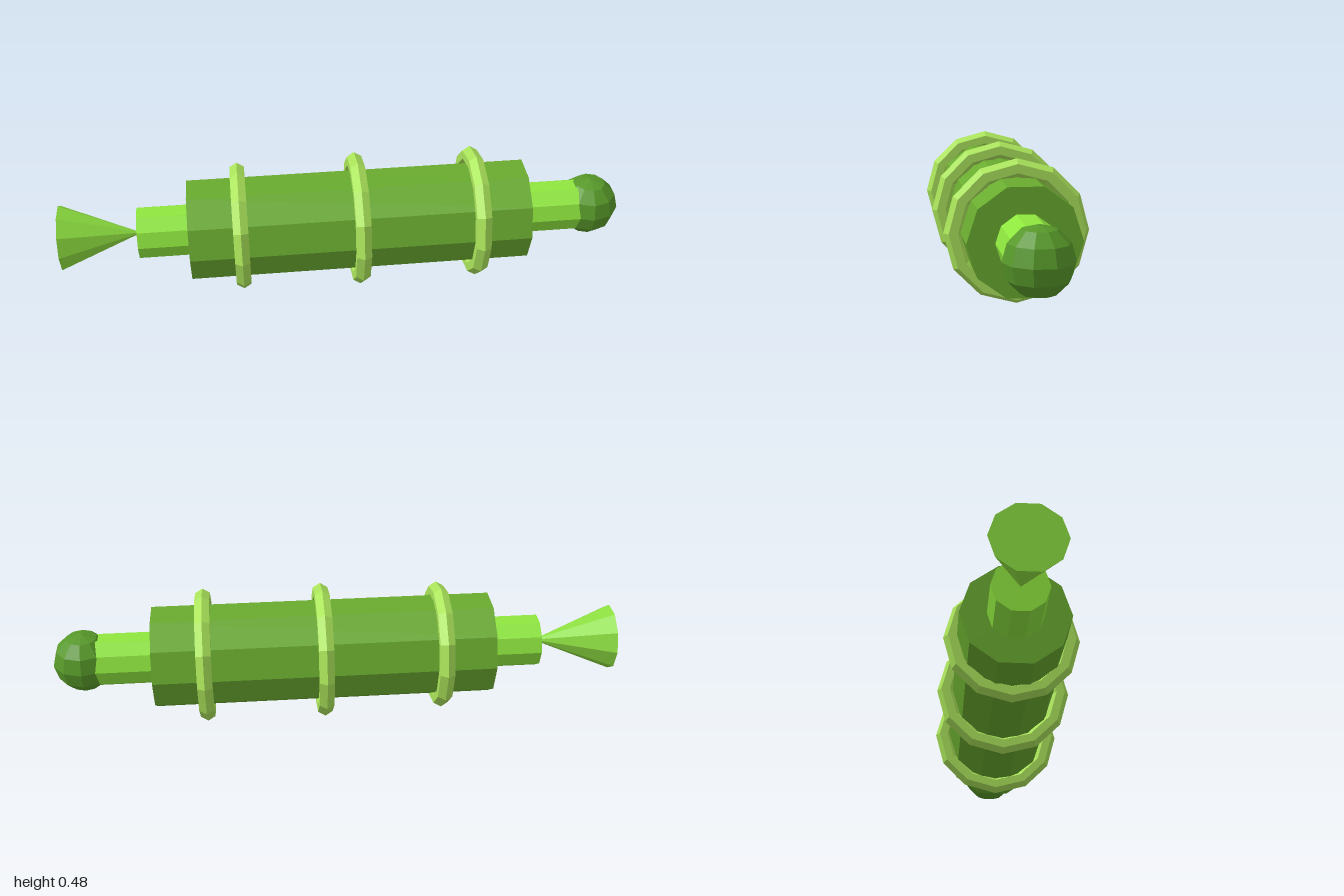
import * as THREE from 'three';

const SIDES = 10;
const AXIS_Y = 0.24;

export function createModel() {
  const model = new THREE.Group();

  const add = (name, geometry, color, x) => {
    const material = new THREE.MeshStandardMaterial({ color, flatShading: true });
    const mesh = new THREE.Mesh(geometry, material);
    mesh.name = name;
    mesh.position.set(x, AXIS_Y, 0);
    model.add(mesh);
  };

  // Cylinder or cone lying along x, from x0 to x1
  const addRod = (name, r0, r1, x0, x1, color) => {
    const geometry = new THREE.CylinderGeometry(r1, r0, x1 - x0, SIDES).rotateZ(-Math.PI / 2);
    add(name, geometry, color, (x0 + x1) / 2);
  };

  // Main barrel and the thinner shaft running through it
  addRod('barrel', 0.182, 0.182, -0.55, 0.65, 0x69ab2f);
  addRod('shaft', 0.093, 0.093, -0.73, 0.88, 0x8ee63e);

  // Flared cone at the right end, its tip set into the shaft
  addRod('flaredCone', 0.118, 0, -1, -0.72, 0x8bdc3f);

  // Ball at the left end
  add('ballTip', new THREE.SphereGeometry(0.108, SIDES, 6).rotateY(Math.PI / 2), 0x579829, 0.897);

  // Bands around the barrel, slightly different in size
  for (const [x, radius] of [[-0.37, 0.197], [0.05, 0.209], [0.47, 0.206]]) {
    add('band', new THREE.TorusGeometry(radius, 0.03, 6, 12).rotateY(Math.PI / 2), 0xaae45a, x);
  }

  return model;
}
